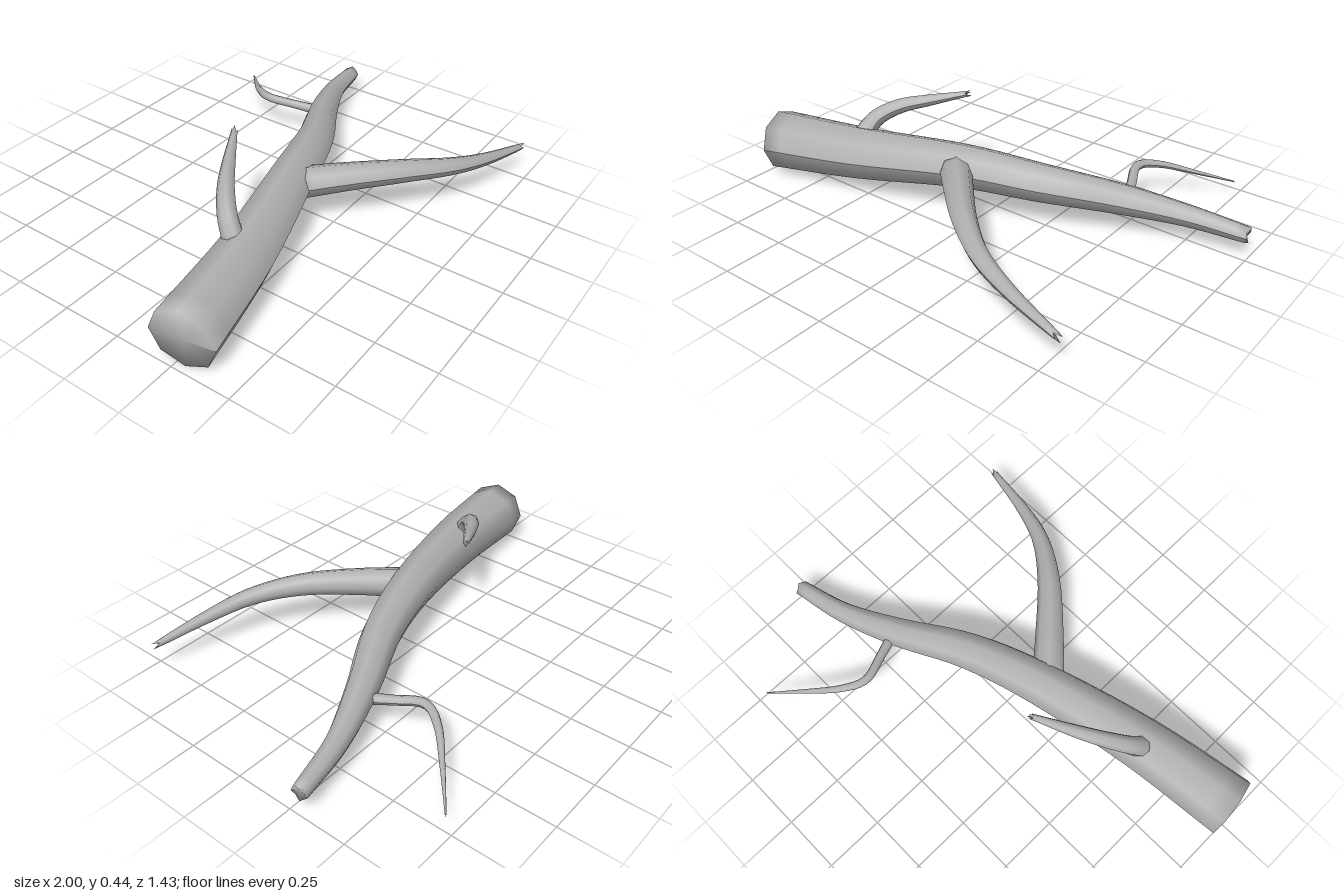
import * as THREE from 'three';

const SIDES = 8;
const SPLINTERS = [0.2, -0.7, 0.9, -0.4, 0.6, -0.8, 1, -0.6]; // uneven broken end

// Tapered limb through [x, y, z, radius] points, with a seam along one side
function limb(name, points, rings, jag, material) {
  const path = new THREE.CatmullRomCurve3(
    points.map(p => new THREE.Vector3(p[0], p[1], p[2])), false, 'catmullrom', 0.5);
  const taper = new THREE.CatmullRomCurve3(
    points.map(p => new THREE.Vector3(p[3], 0, 0)), false, 'catmullrom', 0.5);
  const up = new THREE.Vector3(0, 1, 0);
  const pos = [], index = [];
  const row = SIDES + 1;

  for (let i = 0; i <= rings; i++) {
    const t = i / rings;
    const c = path.getPoint(t), r = taper.getPoint(t).x;
    const T = path.getTangent(t);
    const S = new THREE.Vector3().crossVectors(T, up).normalize();
    const N = new THREE.Vector3().crossVectors(S, T);
    for (let j = 0; j <= SIDES; j++) {
      const a = (j / SIDES) * Math.PI * 2;
      const v = c.clone().addScaledVector(S, r * Math.cos(a)).addScaledVector(N, r * Math.sin(a));
      if (i === rings) v.addScaledVector(T, jag * SPLINTERS[j % SIDES]);
      pos.push(v.x, v.y, v.z);
      if (i < rings && j < SIDES) {
        const k = i * row + j;
        index.push(k, k + row, k + 1, k + 1, k + row, k + row + 1);
      }
    }
  }

  // End caps share the rim so the edges shade softly
  const first = pos.length / 3, last = first + 1, end = rings * row;
  const a = path.getPoint(0);
  const b = path.getPoint(1).addScaledVector(path.getTangent(1), -jag * 0.8);
  pos.push(a.x, a.y, a.z, b.x, b.y, b.z);
  for (let j = 0; j < SIDES; j++) {
    index.push(first, j, j + 1, last, end + j + 1, end + j);
  }

  const geometry = new THREE.BufferGeometry();
  geometry.setAttribute('position', new THREE.Float32BufferAttribute(pos, 3));
  geometry.setIndex(index);
  geometry.computeVertexNormals();
  const mesh = new THREE.Mesh(geometry, material);
  mesh.name = name;
  return mesh;
}

export function createModel() {
  const group = new THREE.Group();
  group.name = 'fallenBranch';
  const bark = new THREE.MeshStandardMaterial({ color: 0xb0b0b0 });
  bark.name = 'greyBark';

  // Main stem, thick end on the left of the front
  group.add(limb('mainStem', [
    [-0.98, 0.135, 0.29, 0.132],
    [-0.55, 0.17, 0.22, 0.115],
    [-0.1, 0.207, 0.105, 0.094],
    [0.22, 0.19, 0, 0.081],
    [0.5, 0.152, -0.14, 0.065],
    [0.75, 0.118, -0.24, 0.046],
    [0.985, 0.093, -0.29, 0.034],
  ], 30, 0.008, bark));

  // Short twig rising from the thick end
  group.add(limb('upperTwig', [
    [-0.57, 0.24, 0.19, 0.045],
    [-0.535, 0.31, 0.135, 0.038],
    [-0.46, 0.36, 0.07, 0.033],
    [-0.36, 0.39, 0.005, 0.026],
    [-0.215, 0.43, -0.08, 0.012],
  ], 20, 0.018, bark));

  // Long side branch sweeping forward
  group.add(limb('frontBranch', [
    [-0.09, 0.21, 0.15, 0.066],
    [0.04, 0.222, 0.29, 0.058],
    [0.2, 0.224, 0.45, 0.048],
    [0.37, 0.203, 0.575, 0.037],
    [0.55, 0.17, 0.645, 0.027],
    [0.785, 0.13, 0.702, 0.014],
  ], 24, 0.022, bark));

  // Thin twig bending backward near the tip
  group.add(limb('rearTwig', [
    [0.53, 0.135, -0.15, 0.024],
    [0.48, 0.155, -0.27, 0.02],
    [0.437, 0.173, -0.39, 0.019],
    [0.49, 0.155, -0.49, 0.016],
    [0.6, 0.11, -0.595, 0.01],
    [0.73, 0.058, -0.71, 0.003],
  ], 24, 0.008, bark));

  return group;
}
